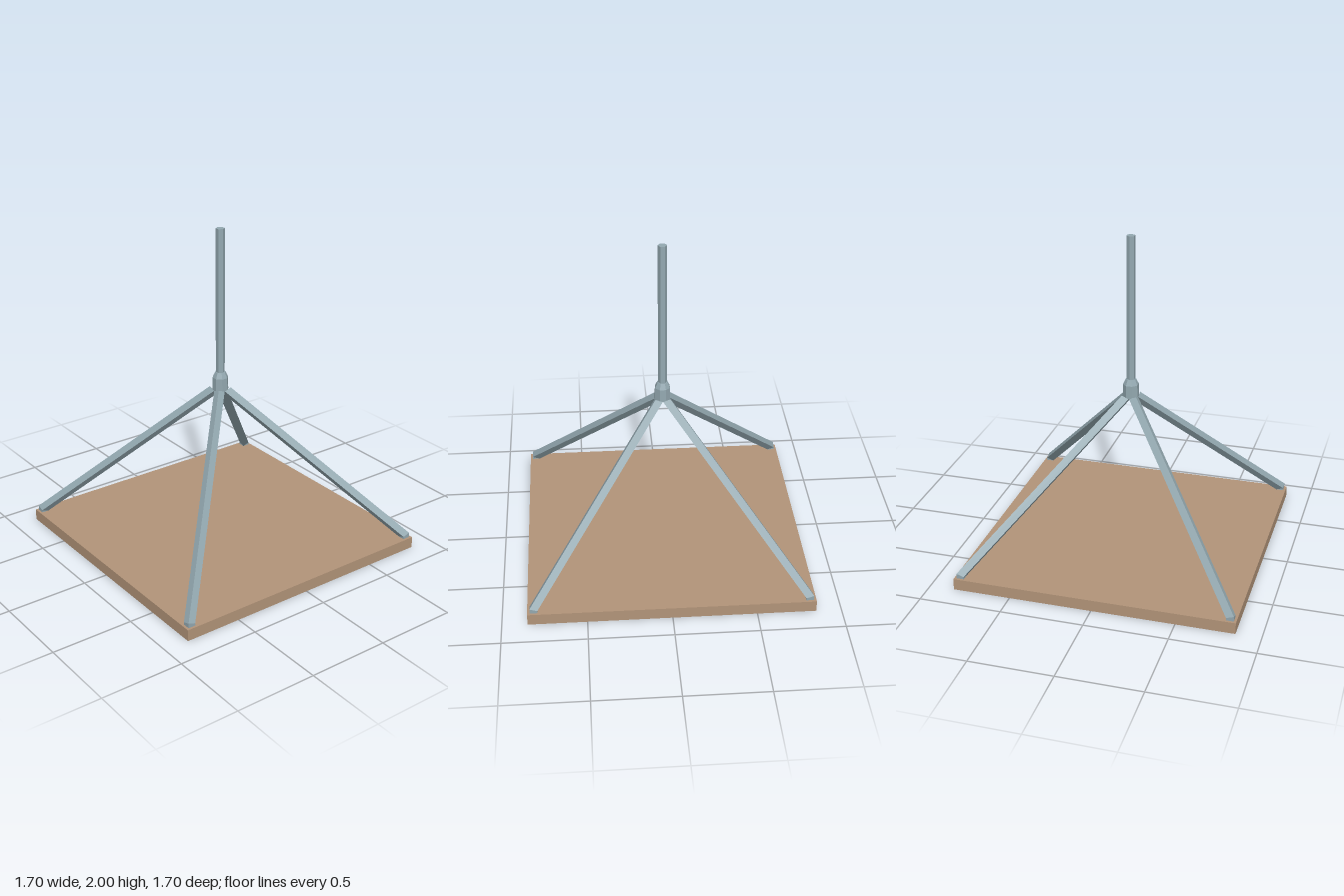
import * as THREE from 'three';

// Joins rings of points (counter-clockwise from above, lowest first) into flat-faced sides
function loft(rings) {
  const pos = [];
  for (let r = 0; r + 1 < rings.length; r++) {
    const lo = rings[r], hi = rings[r + 1], n = lo.length;
    for (let i = 0; i < n; i++) {
      const j = (i + 1) % n;
      for (const p of [lo[i], lo[j], hi[j], lo[i], hi[j], hi[i]]) pos.push(...p);
    }
  }
  const geo = new THREE.BufferGeometry();
  geo.setAttribute('position', new THREE.Float32BufferAttribute(pos, 3));
  geo.computeVertexNormals();
  return geo;
}

export function createModel() {
  const model = new THREE.Group();
  const wood = new THREE.MeshStandardMaterial({ color: 0xb29479 });
  wood.name = 'wood';
  const metal = new THREE.MeshStandardMaterial({ color: 0x93a8b0 });
  metal.name = 'blue grey metal';
  metal.flatShading = true;

  const add = (name, geo, mat, y = 0) => {
    const mesh = new THREE.Mesh(geo, mat);
    mesh.name = name;
    mesh.position.y = y;
    model.add(mesh);
    return mesh;
  };

  // Square board
  add('baseBoard', new THREE.BoxGeometry(1.7, 0.07, 1.7), wood, 0.035);

  // Slanted legs: square section with its ridge on top, trimmed square at the foot
  const w = 0.045;
  const section = [[w, 0.03, w], [w, 0.015, 0], [0, 0, 0], [0, 0.015, w]];
  const foot = section.map(([x, y, z]) => [x + 0.79, y + 0.07, z + 0.79]);
  const buried = foot.map(([x, , z]) => [x, 0.06, z]);
  const apex = section.map(([x, y, z]) => [x, y + 0.98, z]);
  const legGeo = loft([buried, foot, apex]);
  ['frontLeftLeg', 'backLeftLeg', 'backRightLeg', 'frontRightLeg'].forEach((name, i) => {
    add(name, legGeo, metal).rotation.y = i * Math.PI / 2;
  });

  // Faceted hub where the legs meet, narrowing towards the pole
  const hub = [[0.0, 0.995], [0.05, 0.995], [0.048, 1.075], [0.032, 1.11], [0.0, 1.11]]
    .map(([r, y]) => new THREE.Vector2(r, y));
  add('hub', new THREE.LatheGeometry(hub, 8, Math.PI / 8), metal);

  // Six-sided pole with its corners towards the sides
  add('pole', new THREE.CylinderGeometry(0.027, 0.027, 0.9, 6, 1, false, Math.PI / 2), metal, 1.55);

  return model;
}
